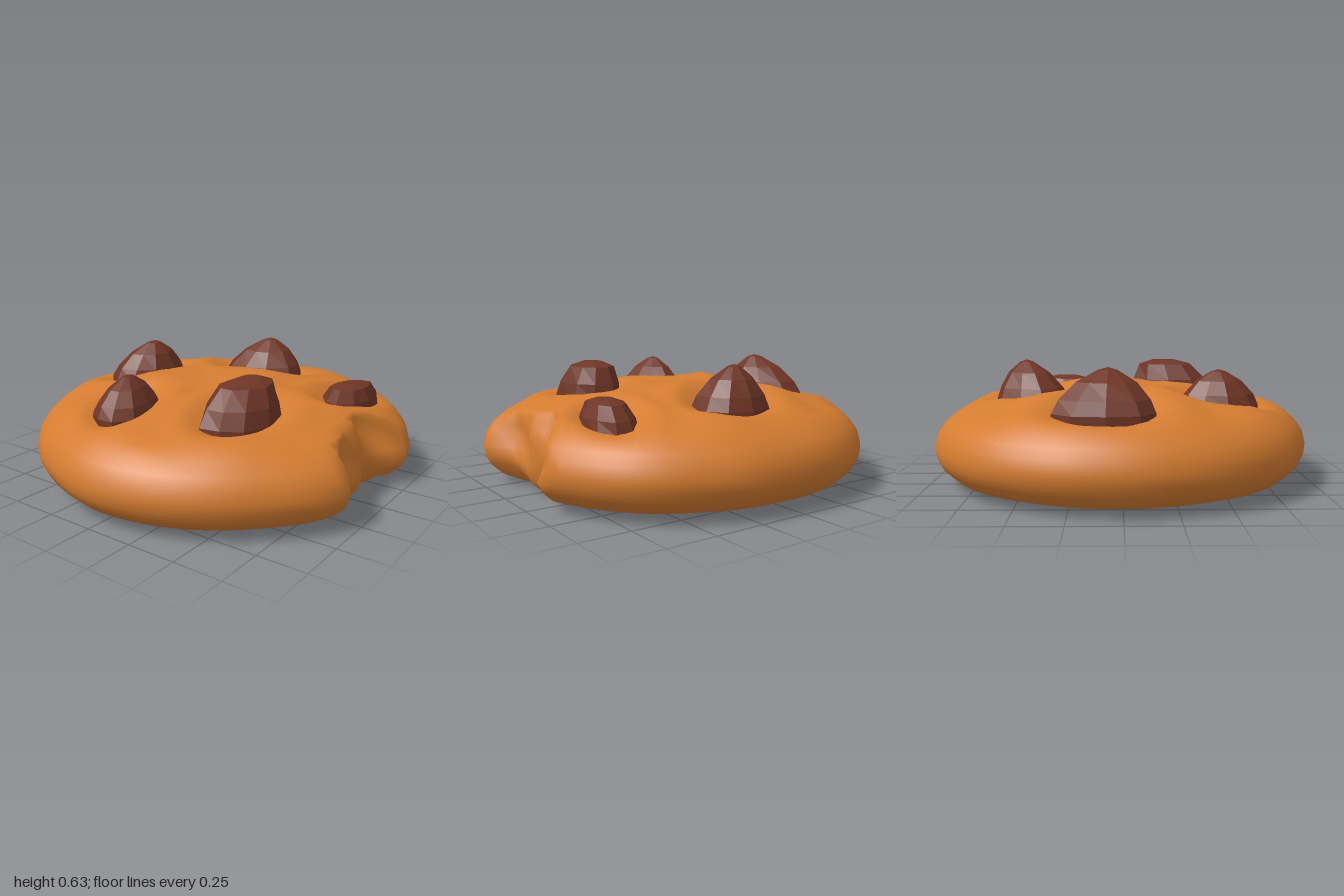
import * as THREE from 'three';
import { mergeVertices } from 'three/addons/utils/BufferGeometryUtils.js';

const dough = new THREE.MeshStandardMaterial({ color: 0xd47c30 });
dough.name = 'baked dough';
const chocolate = new THREE.MeshStandardMaterial({ color: 0x6f3626 });
chocolate.name = 'chocolate';

// Outline radius every 22.5 degrees, from the front round through +x
const OUTLINE = [0.99, 1.04, 1.055, 1.03, 1.0, 1.0, 0.995, 0.985, 0.975, 0.97, 0.97, 0.975, 1.0, 1.0, 1.0, 1.03];
// Bite edge: x and the furthest z that is left
const BITE = [[-0.36, 1.05], [-0.29, 0.965], [-0.2, 0.89], [-0.1, 0.865], [0, 0.89], [0.1, 0.835], [0.2, 0.88], [0.3, 0.955], [0.42, 1.05]];
// Chips: position, half sizes, turn, peak height, peak offset and base height
const CHIPS = [
  { name: 'backChip', x: 0.09, z: -0.56, a: 0.255, b: 0.19, turn: 0.05, top: 0.65, px: -0.02, pz: 0.05, base: 0.36 },
  { name: 'rightChip', x: -0.515, z: -0.185, a: 0.215, b: 0.15, turn: 0.15, top: 0.615, px: 0.01, pz: 0, base: 0.36 },
  { name: 'leftChip', x: 0.48, z: 0.0, a: 0.235, b: 0.185, turn: -1.0, top: 0.655, px: 0.04, pz: 0.02, base: 0.36 },
  { name: 'frontRightChip', x: -0.315, z: 0.375, a: 0.24, b: 0.165, turn: -0.12, top: 0.635, px: 0.06, pz: 0, base: 0.36, blunt: true },
  { name: 'frontLeftChip', x: 0.36, z: 0.625, a: 0.21, b: 0.13, turn: -0.15, top: 0.52, px: -0.02, pz: 0.01, base: 0.32, blunt: true },
];

function outline(angle) {
  const n = OUTLINE.length;
  const t = ((angle / (2 * Math.PI)) * n + n) % n;
  const i = Math.floor(t);
  return THREE.MathUtils.lerp(OUTLINE[i % n], OUTLINE[(i + 1) % n], THREE.MathUtils.smoothstep(t - i, 0, 1));
}

// The wall leans back above and curls under below
function biteLimit(x, y) {
  for (let i = 0; i < BITE.length - 1; i++) {
    const [x0, z0] = BITE[i];
    const [x1, z1] = BITE[i + 1];
    if (x >= x0 && x <= x1) {
      return z0 + (z1 - z0) * ((x - x0) / (x1 - x0)) - 0.26 * Math.max(0, y - 0.15) - 0.6 * Math.max(0, 0.15 - y);
    }
  }
  return Infinity;
}

// Lumps over the top: each chip sits in a hollow with a low swell round it
function lump(x, z) {
  let h = 0.012 * Math.sin(9 * x + 2 * z) * Math.sin(8 * z - 3 * x + 1);
  for (const c of CHIPS) {
    const dx = x - c.x;
    const dz = z - c.z;
    const u = dx * Math.cos(c.turn) - dz * Math.sin(c.turn);
    const v = dx * Math.sin(c.turn) + dz * Math.cos(c.turn);
    const d = Math.hypot(u / c.a, v / c.b);
    h += 0.02 * Math.exp(-(((d - 1.5) / 0.4) ** 2)) - 0.06 * Math.exp(-((d / 1.05) ** 4));
  }
  return h;
}

function makeBody() {
  const curve = [
    [0, 0.02], [0.4, 0.02], [0.72, 0.025], [0.83, 0.04], [0.91, 0.065], [0.97, 0.12], [0.995, 0.17], [1, 0.22],
    [0.985, 0.28], [0.95, 0.33], [0.9, 0.375], [0.84, 0.405], [0.77, 0.425], [0.69, 0.442], [0.64, 0.451], [0.58, 0.463],
    [0.52, 0.474], [0.46, 0.484], [0.4, 0.493], [0.34, 0.502], [0.28, 0.51], [0.2, 0.517], [0.1, 0.523], [0, 0.525],
  ].map(([r, y]) => new THREE.Vector2(r, y));
  let geo = new THREE.LatheGeometry(curve, 96);
  geo.deleteAttribute('uv');
  geo.deleteAttribute('normal');
  geo = mergeVertices(geo, 1e-4);
  const p = geo.attributes.position;
  for (let i = 0; i < p.count; i++) {
    const s = outline(Math.atan2(p.getX(i), p.getZ(i)));
    const x = p.getX(i) * s;
    let z = p.getZ(i) * s;
    let y = p.getY(i);
    if (y > 0.3) y += lump(x, z) * THREE.MathUtils.smoothstep(y, 0.34, 0.43);
    if (z > 0) z = Math.min(z, biteLimit(x, y) + 0.012 * Math.sin(25 * y + 14 * x));
    p.setXYZ(i, THREE.MathUtils.clamp(x, -1, 1), y, z);
  }
  geo.computeVertexNormals();
  const mesh = new THREE.Mesh(geo, dough);
  mesh.name = 'cookieBody';
  return mesh;
}

// A faceted chunk: uneven rings leaning towards an off-centre peak
function makeChip(c, seed) {
  const curve = (c.blunt
    ? [[1, 0], [1, 0.28], [0.9, 0.58], [0.66, 0.9], [0.3, 0.99], [0, 1]]
    : [[1, 0], [1, 0.28], [0.86, 0.5], [0.56, 0.77], [0.18, 0.96], [0, 1]]
  ).map(([r, y]) => new THREE.Vector2(r, y));
  let geo = new THREE.LatheGeometry(curve, 10);
  geo.deleteAttribute('uv');
  geo.deleteAttribute('normal');
  geo = mergeVertices(geo, 1e-4);
  const p = geo.attributes.position;
  const cos = Math.cos(c.turn);
  const sin = Math.sin(c.turn);
  for (let i = 0; i < p.count; i++) {
    const t = Math.atan2(p.getX(i), p.getZ(i));
    const h = p.getY(i);
    const wobble = 1 + 0.05 * Math.sin(3 * t + seed * 2) + 0.03 * Math.sin(5 * t + seed + 4 * h);
    const u = p.getX(i) * c.a * wobble;
    const v = p.getZ(i) * c.b * wobble;
    p.setXYZ(i, c.x + u * cos + v * sin + c.px * h * h, c.base + (c.top - c.base) * h, c.z - u * sin + v * cos + c.pz * h * h);
  }
  geo = geo.toNonIndexed();
  geo.computeVertexNormals();
  const mesh = new THREE.Mesh(geo, chocolate);
  mesh.name = c.name;
  return mesh;
}

export function createModel() {
  const model = new THREE.Group();
  model.name = 'bittenCookie';
  model.add(makeBody());
  CHIPS.forEach((c, i) => model.add(makeChip(c, i + 1)));
  return model;
}
